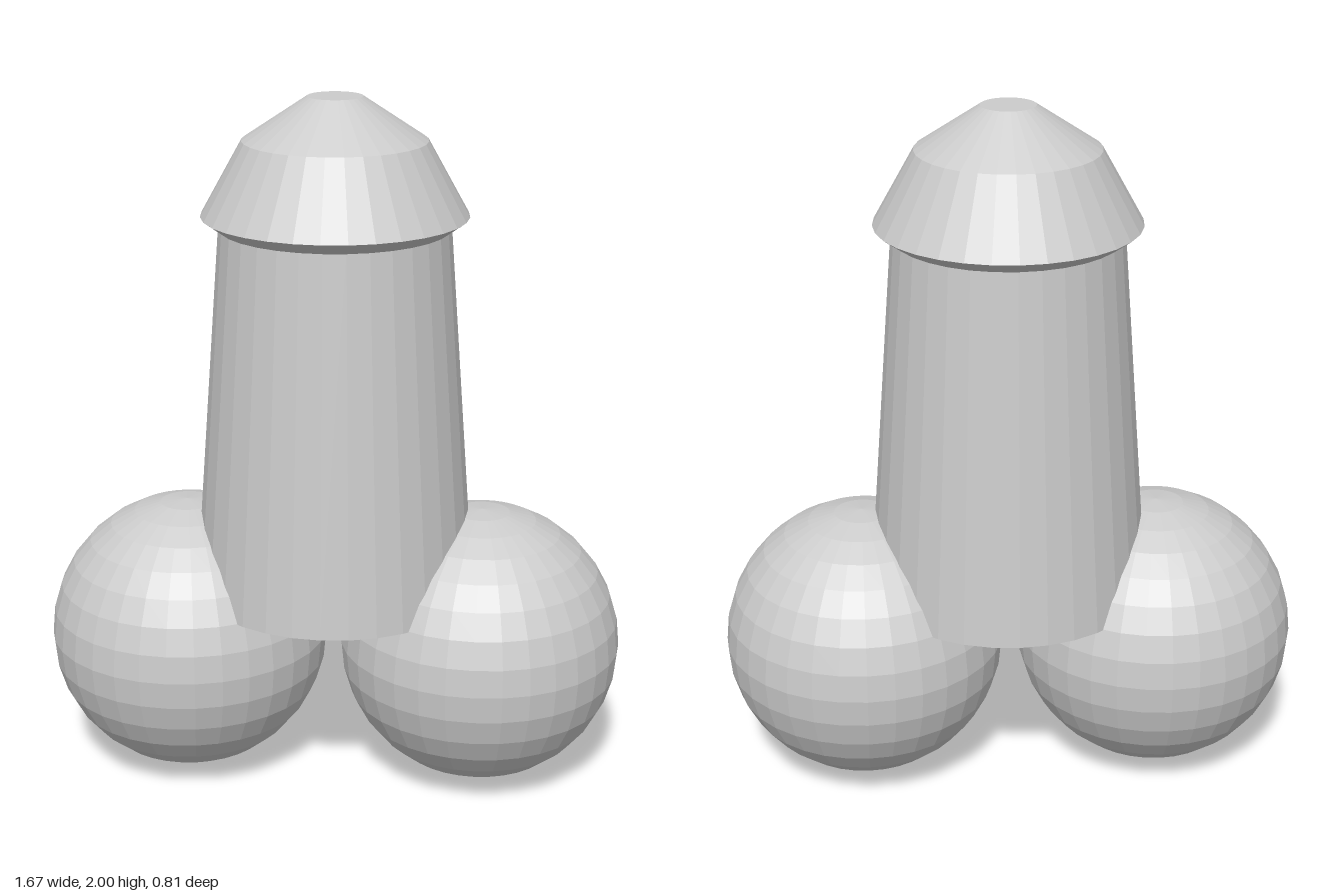
import * as THREE from 'three';

export function createModel() {
  const group = new THREE.Group();
  const material = new THREE.MeshStandardMaterial({ color: 0xcccccc, flatShading: true });

  const add = (name, geometry, x, y) => {
    const mesh = new THREE.Mesh(geometry, material);
    mesh.name = name;
    mesh.position.set(x, y, 0);
    group.add(mesh);
  };

  // Two faceted spheres at the base
  const radius = 0.407;
  for (const side of [1, -1]) {
    add(side > 0 ? 'leftSphere' : 'rightSphere',
      new THREE.SphereGeometry(radius, 32, 16), side * 0.43, 0.411);
  }

  // Tapered column with a closed underside
  const bottom = 0.565, top = 1.64;
  add('column', new THREE.CylinderGeometry(0.325, 0.405, top - bottom, 32), 0.003, (top + bottom) / 2);

  // Stepped conical cap with an undercut rim
  const profile = [[0, 1.637], [0.325, 1.637], [0.374, 1.672], [0.258, 1.88], [0.077, 2], [0, 2]]
    .map(([r, y]) => new THREE.Vector2(r, y));
  add('cap', new THREE.LatheGeometry(profile, 32), 0.003, 0);

  return group;
}
